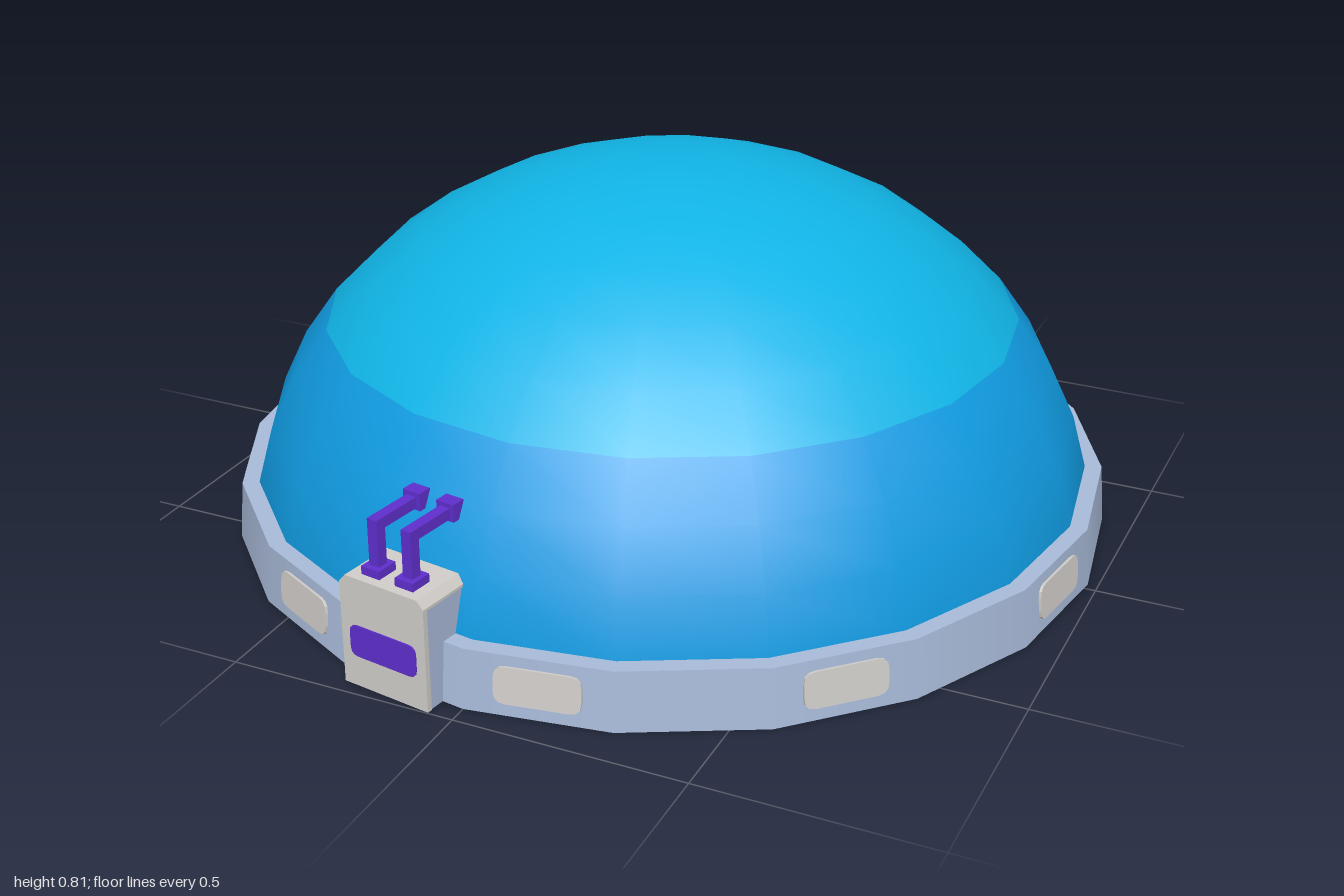
import * as THREE from 'three';

const mat = (name, color) => Object.assign(new THREE.MeshStandardMaterial({ color }), { name });

// Rectangle outline with rounded corners, centred on the origin
function roundedRect(w, h, r) {
  const s = new THREE.Shape(), x = w / 2, y = h / 2;
  s.moveTo(-x + r, -y);
  s.lineTo(x - r, -y).quadraticCurveTo(x, -y, x, -y + r);
  s.lineTo(x, y - r).quadraticCurveTo(x, y, x - r, y);
  s.lineTo(-x + r, y).quadraticCurveTo(-x, y, -x, y - r);
  s.lineTo(-x, -y + r).quadraticCurveTo(-x, -y, -x + r, -y);
  return s;
}

export function createModel() {
  const cyan = mat('cyan', 0x10b4e6);
  const blue = mat('blue', 0x109ae0);
  const steel = mat('steel blue', 0xa8bad8);
  const pale = mat('pale grey', 0xd0cdc9);
  const purple = mat('purple', 0x5f2fcc);

  const model = new THREE.Group();
  model.name = 'domeBuilding';
  const hub = new THREE.Group();
  hub.name = 'dome';
  hub.position.z = -0.02;
  model.add(hub);

  const add = (parent, name, geometry, material, x = 0, y = 0, z = 0) => {
    const mesh = new THREE.Mesh(geometry, material);
    mesh.name = name;
    mesh.position.set(x, y, z);
    parent.add(mesh);
    return mesh;
  };
  const box = (parent, name, material, w, h, d, x, y, z) =>
    add(parent, name, new THREE.BoxGeometry(w, h, d), material, x, y, z);

  // Two-tone squashed dome, split at the sixth ring
  const step = Math.PI / 20;
  const domePart = (from, rings) =>
    new THREE.SphereGeometry(1, 20, rings, 0, Math.PI * 2, from * step, rings * step).scale(0.942, 0.815, 0.942);
  add(hub, 'domeTop', domePart(0, 6), cyan);
  add(hub, 'domeLower', domePart(6, 4), blue);

  // Twenty-sided base ring
  add(hub, 'baseRing', new THREE.CylinderGeometry(0.967, 0.978, 0.13, 20), steel, 0, 0.065, 0);

  // Windows on every second face of the ring
  const windowGeometry = new THREE.ExtrudeGeometry(roundedRect(0.18, 0.08, 0.025),
    { depth: 0.009, bevelEnabled: false, curveSegments: 3 });
  for (let i = 0; i < 10; i++) {
    const side = new THREE.Group();
    side.name = 'windowSide';
    side.rotation.y = THREE.MathUtils.degToRad(9 + 36 * i);
    hub.add(side);
    add(side, 'window', windowGeometry, pale, 0, 0.067, 0.957).rotation.x = -0.08;
  }

  // Entrance block, turned to sit on one face of the ring
  const entrance = new THREE.Group();
  entrance.name = 'entrance';
  entrance.rotation.y = THREE.MathUtils.degToRad(-9);
  hub.add(entrance);
  box(entrance, 'entranceBody', steel, 0.206, 0.225, 0.12, 0, 0.1125, 0.945);

  // Front panel and cap with chamfered top corners
  const panel = new THREE.Shape([[-0.105, 0], [0.105, 0], [0.105, 0.228], [0.09, 0.245], [-0.09, 0.245], [-0.105, 0.228]]
    .map(([x, y]) => new THREE.Vector2(x, y)));
  add(entrance, 'entranceFront', new THREE.ExtrudeGeometry(panel, { depth: 0.012, bevelEnabled: false }),
    pale, 0, 0, 1.002);
  const cap = new THREE.Shape([[-0.105, 0.222], [0.105, 0.222], [0.105, 0.228], [0.09, 0.245], [-0.09, 0.245], [-0.105, 0.228]]
    .map(([x, y]) => new THREE.Vector2(x, y)));
  add(entrance, 'entranceCap', new THREE.ExtrudeGeometry(cap, { depth: 0.118, bevelEnabled: false }),
    pale, 0, 0, 0.884);
  add(entrance, 'entranceSign', new THREE.ExtrudeGeometry(roundedRect(0.165, 0.07, 0.018),
    { depth: 0.005, bevelEnabled: false, curveSegments: 3 }), purple, 0, 0.105, 1.012);

  // Pair of bent pipes running back to the dome
  for (const x of [-0.042, 0.042]) {
    box(entrance, 'pipeFoot', purple, 0.045, 0.02, 0.05, x, 0.253, 0.968);
    box(entrance, 'pipePost', purple, 0.024, 0.11, 0.024, x, 0.31, 0.968);
    box(entrance, 'pipeArm', purple, 0.024, 0.024, 0.13, x, 0.353, 0.915);
    box(entrance, 'pipeEnd', purple, 0.042, 0.038, 0.032, x, 0.355, 0.845);
  }
  return model;
}
